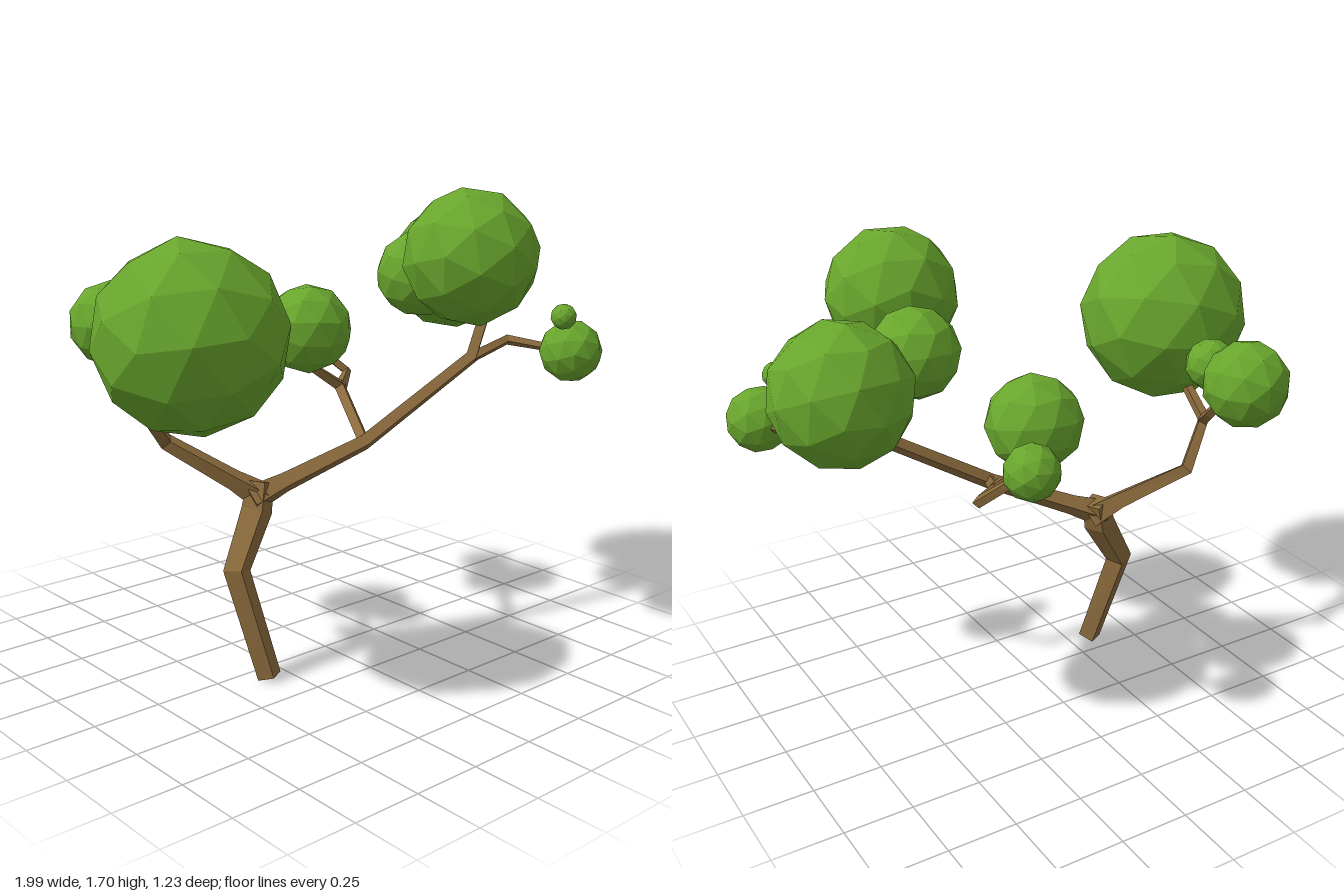
import * as THREE from 'three';

const bark = new THREE.MeshStandardMaterial({ color: 0x8a6a3c, flatShading: true });
bark.name = 'bark brown';
const leaf = new THREE.MeshStandardMaterial({ color: 0x69a62d, flatShading: true });
leaf.name = 'leaf green';

// Four-sided tapering limb through a list of [x, y, z, radius] joints
function limb(name, joints, turn = 0) {
  const sides = 4;
  const pts = joints.map(j => new THREE.Vector3(j[0], j[1], j[2]));
  const last = pts.length - 1;
  const pos = [], index = [];
  let u = new THREE.Vector3(Math.cos(turn), 0, Math.sin(turn));
  pts.forEach((p, i) => {
    const t = new THREE.Vector3();
    if (i > 0) t.add(p.clone().sub(pts[i - 1]).normalize());
    if (i < last) t.add(pts[i + 1].clone().sub(p).normalize());
    t.normalize();
    // carry the side direction along so the limb does not twist
    u = u.clone().addScaledVector(t, -u.dot(t)).normalize();
    const v = new THREE.Vector3().crossVectors(t, u);
    for (let k = 0; k < sides; k++) {
      const a = (k / sides) * Math.PI * 2;
      const q = p.clone().addScaledVector(u, joints[i][3] * Math.cos(a)).addScaledVector(v, joints[i][3] * Math.sin(a));
      pos.push(q.x, q.y, q.z);
    }
  });
  for (let i = 0; i < last; i++) {
    for (let k = 0; k < sides; k++) {
      const a = i * sides + k, b = i * sides + (k + 1) % sides;
      index.push(a, b, b + sides, a, b + sides, a + sides);
    }
  }
  const e = last * sides;
  index.push(0, 2, 1, 0, 3, 2, e, e + 1, e + 2, e, e + 2, e + 3);
  const indexed = new THREE.BufferGeometry();
  indexed.setAttribute('position', new THREE.Float32BufferAttribute(pos, 3));
  indexed.setIndex(index);
  const geo = indexed.toNonIndexed();
  geo.computeVertexNormals();
  const mesh = new THREE.Mesh(geo, bark);
  mesh.name = name;
  return mesh;
}

// Faceted ball of leaves, each one turned differently
function leafBall(name, x, y, z, r, i) {
  const mesh = new THREE.Mesh(new THREE.IcosahedronGeometry(r * 1.02, 1), leaf);
  mesh.position.set(x, y, z);
  mesh.rotation.set(i * 1.3, i * 0.9 + 0.4, i * 0.7);
  mesh.name = name;
  return mesh;
}

export function createModel() {
  const tree = new THREE.Group();
  tree.name = 'tree';

  const wood = new THREE.Group();
  wood.name = 'trunkAndBranches';
  wood.add(
    limb('trunk', [[-0.335, 0.015, 0.085, 0.044], [-0.4, 0.4, -0.01, 0.05], [-0.285, 0.59, -0.04, 0.058], [-0.26, 0.69, -0.05, 0.05]], 0.3),
    // right hand limb and its twigs
    limb('rightBranch', [[-0.3, 0.63, -0.05, 0.055], [-0.18, 0.68, -0.01, 0.038], [0.1, 0.8, 0.1, 0.03], [0.56, 1.07, 0.19, 0.027]], 0.3),
    limb('backTwig', [[0.1, 0.8, 0.1, 0.024], [0.25, 0.93, -0.2, 0.025], [0.38, 0.96, -0.31, 0.02], [0.28, 1.08, -0.43, 0.018]]),
    limb('backSideTwig', [[0.26, 0.93, -0.2, 0.025], [0.14, 1.02, -0.24, 0.022], [0.13, 1.1, -0.25, 0.02]]),
    limb('upperTwig', [[0.55, 1.06, 0.19, 0.027], [0.65, 1.21, 0.16, 0.026], [0.78, 1.26, 0.08, 0.023], [0.77, 1.32, -0.08, 0.02]]),
    limb('frontTwig', [[0.55, 1.065, 0.19, 0.022], [0.75, 1.11, 0.19, 0.02], [0.83, 1.09, 0.32, 0.016], [0.835, 1.09, 0.4, 0.015]]),
    // left hand limb and its twigs
    limb('leftBranch', [[-0.25, 0.63, -0.04, 0.055], [-0.34, 0.7, -0.1, 0.038], [-0.52, 0.84, -0.25, 0.03], [-0.66, 0.98, -0.16, 0.024], [-0.68, 1.07, -0.01, 0.02]], 0.3),
    limb('leftBackTwig', [[-0.65, 0.98, -0.17, 0.022], [-0.58, 1.06, -0.29, 0.02], [-0.58, 1.2, -0.42, 0.018]])
  );
  tree.add(wood);

  const foliage = new THREE.Group();
  foliage.name = 'foliage';
  [
    ['largeLeftBall', -0.69, 1.285, 0.16, 0.31],
    ['leftBackBall', -0.58, 1.235, -0.475, 0.15],
    ['leftSmallBall', -0.58, 1.245, -0.28, 0.09],
    ['topFrontBall', 0.335, 1.475, 0.38, 0.235],
    ['rightBall', 0.76, 1.355, -0.13, 0.235],
    ['middleBall', 0.42, 1.375, 0.04, 0.155],
    ['backBall', 0.13, 1.165, -0.25, 0.165],
    ['backSmallBall', 0.265, 1.1, -0.46, 0.095],
    ['frontSmallBall', 0.84, 1.09, 0.425, 0.115],
    ['tinyBall', 0.76, 1.23, 0.45, 0.047]
  ].forEach((b, i) => foliage.add(leafBall(...b, i + 1)));
  tree.add(foliage);

  return tree;
}
